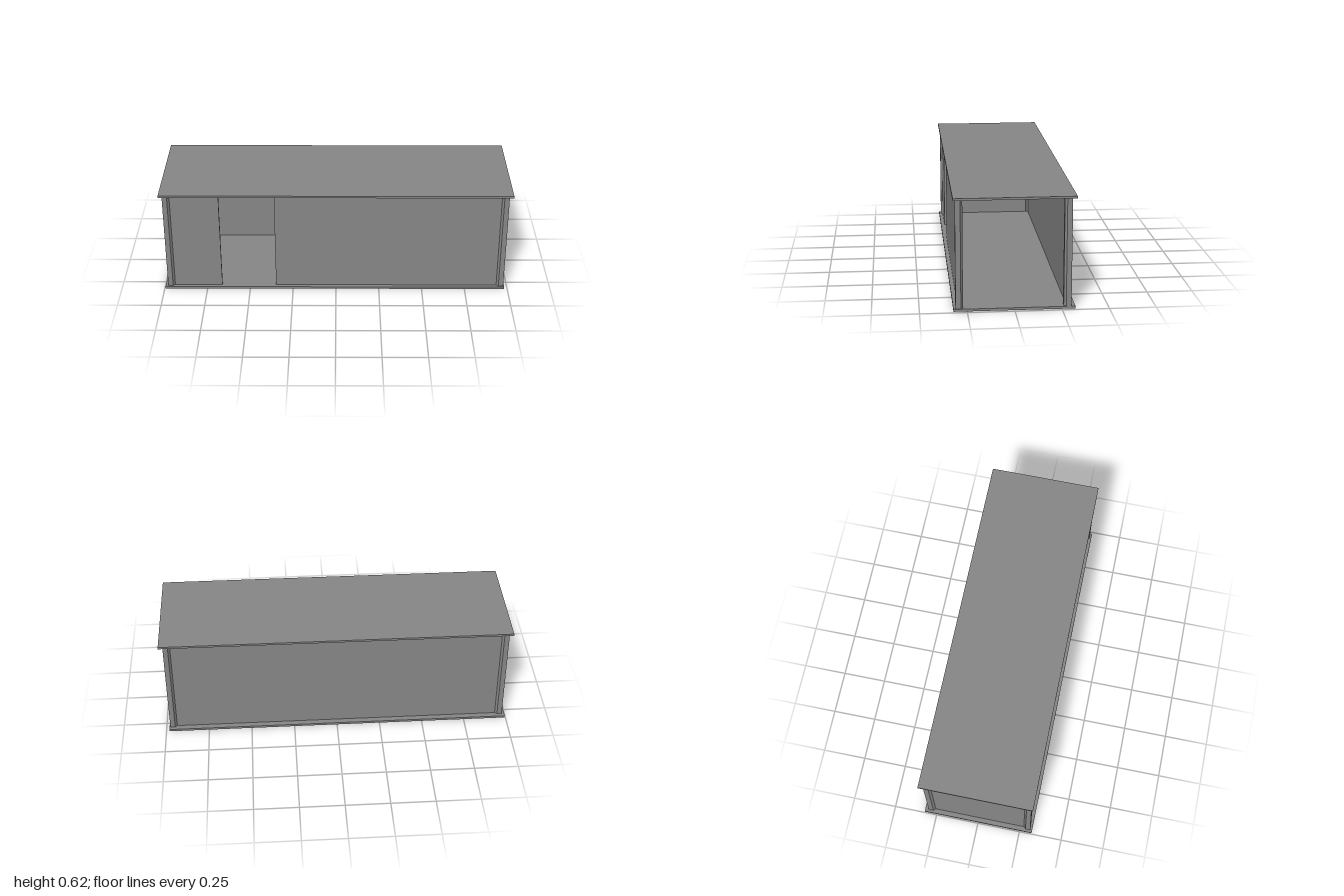
import * as THREE from 'three';

export function createModel() {
  const model = new THREE.Group();
  const material = new THREE.MeshStandardMaterial({ color: 0x888888, flatShading: true });

  const floorTop = 0.013, roofBottom = 0.603;
  const xMin = -0.98, xMax = 0.977, zMin = -0.301, zMax = 0.311; // outer faces of the posts
  const post = 0.04, flat = 0.028, inset = 0.012, thick = 0.014;

  // Box given by its minimum and maximum corners
  function addBox(name, x0, x1, y0, y1, z0, z1) {
    const mesh = new THREE.Mesh(new THREE.BoxGeometry(x1 - x0, y1 - y0, z1 - z0), material);
    mesh.position.set((x0 + x1) / 2, (y0 + y1) / 2, (z0 + z1) / 2);
    mesh.name = name;
    model.add(mesh);
  }

  // Floor and roof slabs
  addBox('floor', -0.995, 0.982, 0, floorTop, -0.322, 0.322);
  addBox('roof', -1, 1, roofBottom, 0.615, -0.322, 0.322);

  // Corner posts, bevelled where they step back to the walls
  const profile = [[0, 0], [flat, 0], [post, inset], [post, post], [inset, post], [0, flat]];
  for (const [name, x, sx, z, sz] of [
    ['frontLeftPost', xMax, -1, zMax, -1], ['frontRightPost', xMin, 1, zMax, -1],
    ['backLeftPost', xMax, -1, zMin, 1], ['backRightPost', xMin, 1, zMin, 1],
  ]) {
    const shape = new THREE.Shape(profile.map(([a, b]) => new THREE.Vector2(x + sx * a, -(z + sz * b))));
    const geometry = new THREE.ExtrudeGeometry(shape, { depth: roofBottom - floorTop, bevelEnabled: false });
    geometry.rotateX(-Math.PI / 2).translate(0, floorTop, 0);
    const mesh = new THREE.Mesh(geometry, material);
    mesh.name = name;
    model.add(mesh);
  }

  // Walls between the posts: doorway in the front, left end open
  const wx0 = xMin + post, wx1 = xMax - post;
  const frontZ = zMax - inset, backZ = zMin + inset, endX = xMin + inset;
  addBox('frontWallNarrow', wx0, -0.664, floorTop, roofBottom, frontZ - thick, frontZ);
  addBox('frontWallWide', -0.35, wx1, floorTop, roofBottom, frontZ - thick, frontZ);
  addBox('backWall', wx0, wx1, floorTop, roofBottom, backZ, backZ + thick);
  addBox('rightEndWall', endX, endX + thick, floorTop, roofBottom, zMin + post, zMax - post);

  return model;
}
